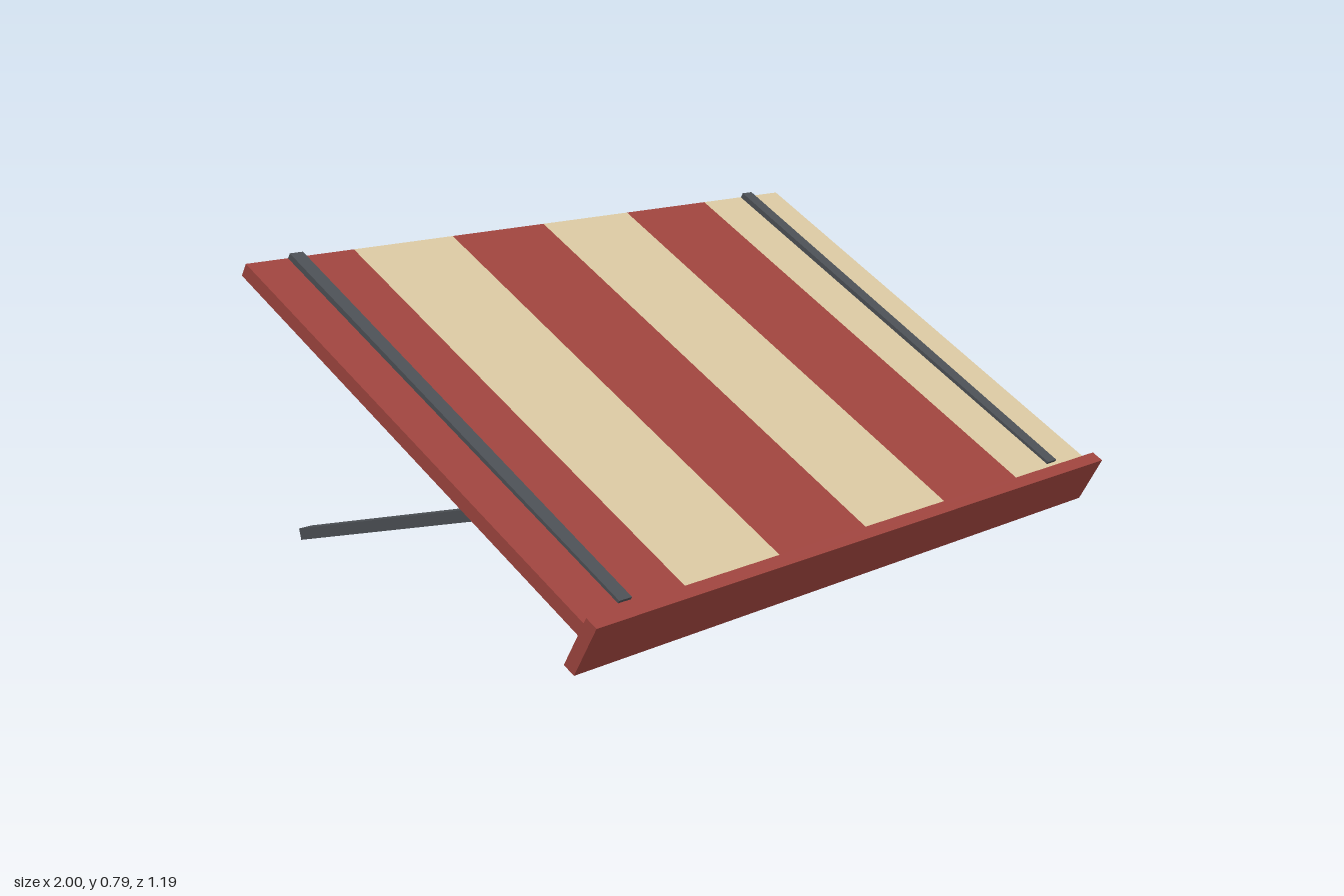
import * as THREE from 'three';

const deg = THREE.MathUtils.degToRad;

function material(name, color) {
  const m = new THREE.MeshStandardMaterial({ color });
  m.name = name;
  return m;
}

export function createModel() {
  const red = material('brick red', 0x9c433d);
  const cream = material('cream', 0xd6c59f);
  const metal = material('dark metal', 0x4b4f54);
  const awning = new THREE.Group();
  awning.name = 'awning';

  // A bar tilted about x; positive tilt lifts its back end
  function bar(name, mat, size, position, tilt) {
    const mesh = new THREE.Mesh(new THREE.BoxGeometry(...size), mat);
    mesh.name = name;
    mesh.position.set(...position);
    mesh.rotation.x = deg(tilt);
    awning.add(mesh);
  }

  // Striped sloping canopy
  const stripes = 6, width = 0.33;
  for (let i = 0; i < stripes; i++) {
    const x = (i - (stripes - 1) / 2) * width;
    bar('canopyStripe' + (i + 1), i % 2 ? cream : red, [width, 0.035, 1.307], [x, 0.431, -0.021], 30.2);
  }

  // Valance board along the low front edge
  bar('frontValance', red, [2, 0.138, 0.035], [0, 0.069, 0.548], 30);

  // Rails on the canopy and support arms below it, on both sides
  for (const [side, x] of [['left', 0.845], ['right', -0.845]]) {
    bar(side + 'Rail', metal, [0.04, 0.03, 1.281], [x, 0.449, -0.025], 30.55);
    bar(side + 'SupportArm', metal, [0.04, 0.029, 0.776], [x, 0.176, -0.196], -14.4);
  }

  return awning;
}
